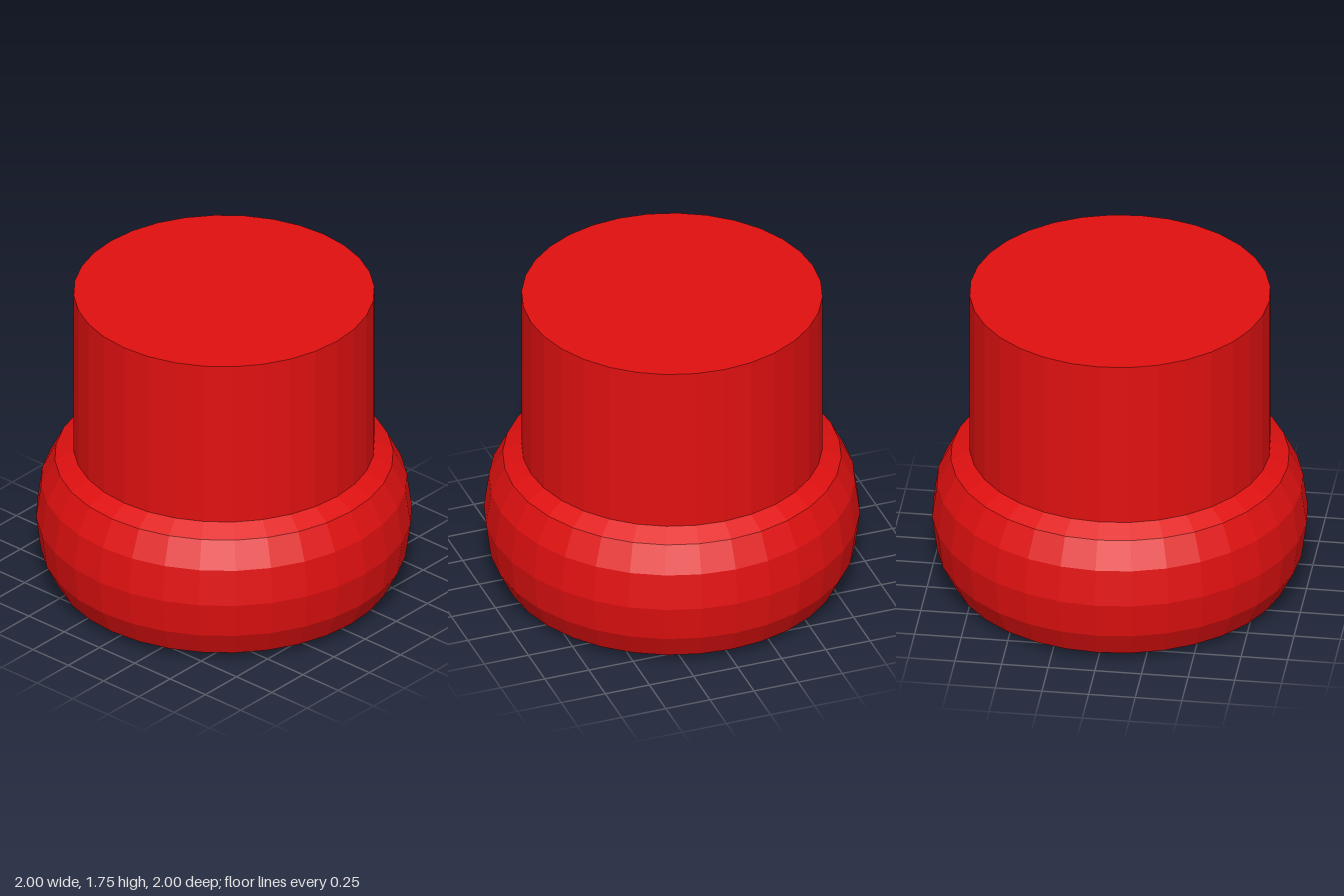
import * as THREE from 'three';

export function createModel() {
  const model = new THREE.Group();
  const red = new THREE.MeshStandardMaterial({ color: 0xe01010, flatShading: true });
  red.name = 'red';
  const black = new THREE.MeshStandardMaterial({ color: 0x080808, flatShading: true });
  black.name = 'black';

  const sides = 32;
  const top = 1.755, floor = 0.61;

  // Upright plug: red wall and top, black underside seen through the ring
  const plugGeometry = new THREE.CylinderGeometry(0.8, 0.8, top - floor, sides);
  plugGeometry.translate(0, (top + floor) / 2, 0);
  const plug = new THREE.Mesh(plugGeometry, [red, red, black]);
  plug.name = 'plug';
  model.add(plug);

  // Base ring: torus stretched to an elliptical section, 0.2 wide and 0.4 high
  const ringGeometry = new THREE.TorusGeometry(0.8, 0.2, 12, sides);
  ringGeometry.rotateX(Math.PI / 2);
  ringGeometry.scale(1, 2, 1);
  ringGeometry.translate(0, 0.4, 0);
  const ring = new THREE.Mesh(ringGeometry, red);
  ring.name = 'baseRing';
  model.add(ring);

  return model;
}
